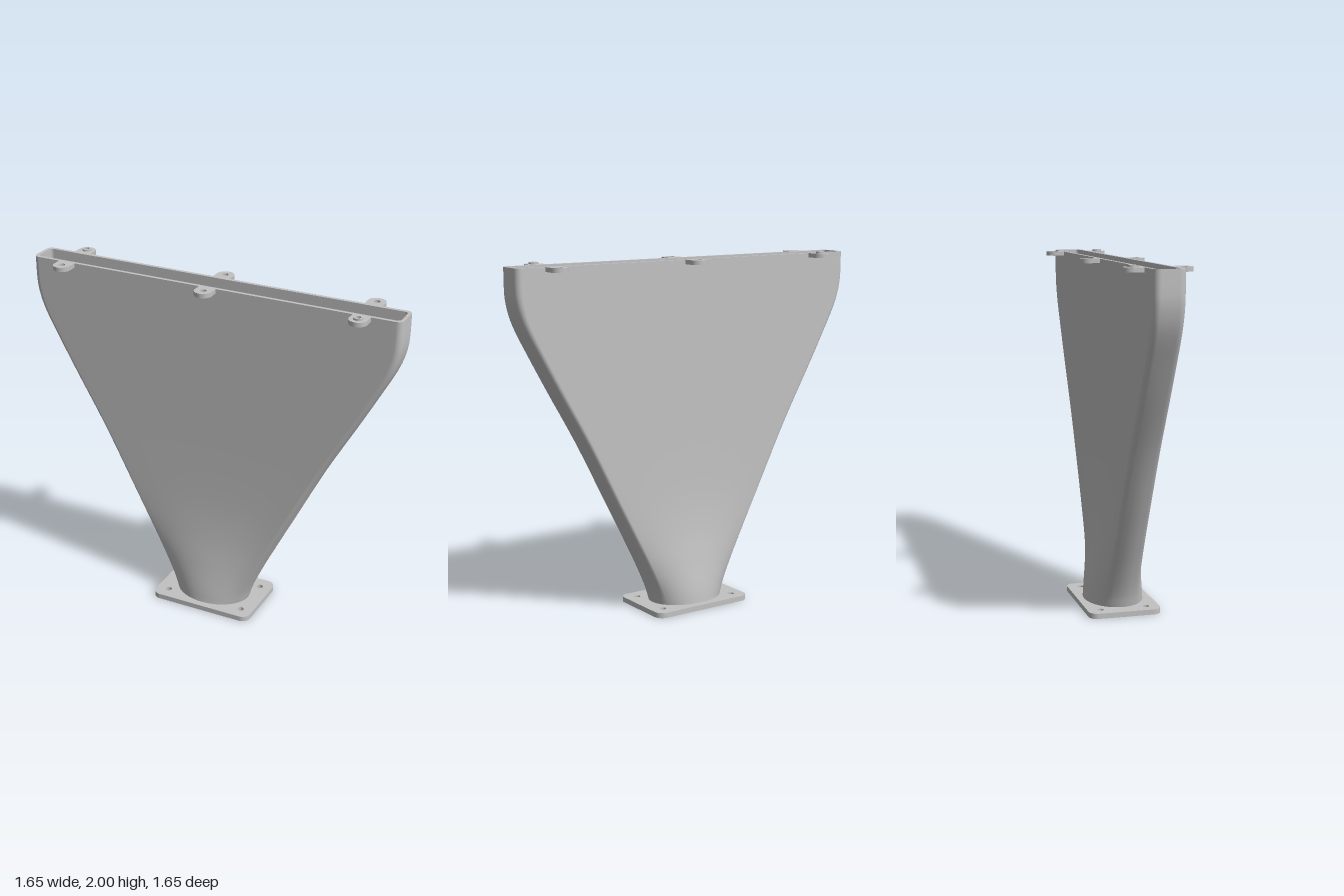
import * as THREE from 'three';

// local frame: x along the wide opening, z across it; the whole is turned 45 degrees at the end
const BASE = 0.03, RIM = 1.99;

// by height: how far the oval base has spread into the slot lengthwise, and how far it has thinned
const spread = [[0.03, 0, 0], [0.1, 0.025, 0.09], [0.26, 0.105, 0.4], [0.45, 0.212, 0.73], [0.655, 0.33, 0.92],
  [1.01, 0.535, 1], [1.315, 0.73, 1], [1.5, 0.845, 1], [1.66, 0.94, 1], [1.74, 0.975, 1], [1.82, 0.995, 1],
  [1.9, 1, 1], [1.99, 1, 1]];
const curve = new THREE.CatmullRomCurve3(spread.map(([y, f, g]) => new THREE.Vector3(f, y, g)));
const levels = curve.getPoints(60).map(p => ({ f: Math.min(1, p.x), g: Math.min(1, p.z), y: p.y }));

// one quarter of the outline: base angle (degrees) paired with the slot point
function quarter(L, w, r) {
  const q = [];
  for (let i = 0; i < 4; i++) q.push([i / 4 * 20, L, (w - r) * i / 4]);
  for (let i = 0; i <= 8; i++) {
    const a = i / 8 * Math.PI / 2;
    q.push([20 + i / 8 * 14, L - r + r * Math.cos(a), w - r + r * Math.sin(a)]);
  }
  for (let i = 1; i <= 12; i++) q.push([34 + i / 12 * 56, (L - r) * (1 - i / 12), w]);
  return q;
}

// closed ring blended from an oval (A by B) to a rounded slot (L by w, corner r)
function ring({ f, g, y }, A, B, L, w, r) {
  const q = quarter(L, w, r).map(([deg, x, z]) => {
    const a = deg * Math.PI / 180;
    return [(1 - f) * A * Math.cos(a) + f * x, (1 - g) * B * Math.sin(a) + g * z];
  });
  const half = [...q, ...q.slice(0, -1).reverse().map(([x, z]) => [-x, z])];
  const all = [...half, ...half.slice(1, -1).reverse().map(([x, z]) => [x, -z])];
  return all.map(([x, z]) => [x, y, z]);
}

// skin over a list of rings
function skin(rings, inward = false) {
  const n = rings[0].length, idx = [];
  for (let i = 0; i < rings.length - 1; i++) for (let j = 0; j < n; j++) {
    const a = i * n + j, b = i * n + (j + 1) % n, c = a + n, d = b + n;
    if (inward) idx.push(a, b, c, b, d, c);
    else idx.push(a, c, b, b, c, d);
  }
  const geometry = new THREE.BufferGeometry();
  geometry.setAttribute('position', new THREE.Float32BufferAttribute(rings.flat(2), 3));
  geometry.setIndex(idx);
  geometry.computeVertexNormals();
  return geometry;
}

// flat plate lying on y = 0
function plate(shape, depth) {
  return new THREE.ExtrudeGeometry(shape, { depth, bevelEnabled: false, curveSegments: 24 }).rotateX(-Math.PI / 2);
}
function hole(shape, x, y, rx, ry = rx) {
  shape.holes.push(new THREE.Path().absellipse(x, y, rx, ry, 0, Math.PI * 2, true));
}

export function createModel() {
  const model = new THREE.Group();
  model.name = 'funnelNozzle';
  const grey = new THREE.MeshStandardMaterial({ color: 0xc2c2c2 });
  grey.name = 'grey';
  const add = (name, geometry) => {
    const m = new THREE.Mesh(geometry, grey);
    m.name = name;
    model.add(m);
    return m;
  };

  // hollow body
  const outer = levels.map(l => ring(l, 0.224, 0.17, 1.1, 0.085, 0.035));
  const inner = levels.map(l => ring(l, 0.202, 0.15, 1.08, 0.065, 0.02));
  add('outerWall', skin(outer));
  add('innerWall', skin(inner, true));
  add('rim', skin([outer[outer.length - 1], inner[inner.length - 1]]));

  // base flange with rounded corners, an oval duct opening and four screw holes
  const L = 0.313, W = 0.209, r = 0.05;
  const flange = new THREE.Shape();
  flange.absarc(L - r, W - r, r, 0, Math.PI / 2);
  flange.absarc(-L + r, W - r, r, Math.PI / 2, Math.PI);
  flange.absarc(-L + r, -W + r, r, Math.PI, Math.PI * 1.5);
  flange.absarc(L - r, -W + r, r, Math.PI * 1.5, Math.PI * 2);
  hole(flange, 0, 0, 0.202, 0.15);
  for (const x of [-0.24, 0.24]) for (const y of [-0.134, 0.134]) hole(flange, x, y, 0.018);
  add('baseFlange', plate(flange, BASE));

  // two flow vanes fanning out inside the duct
  for (const s of [-1, 1]) {
    const t = 0.004;
    const rows = levels.filter(({ y }) => y >= 0.04 && y <= 1.9).map(({ f, g, y }) => {
      const x = s * (0.06 + 0.3 * f), z = (1 - g) * 0.146 + g * 0.07;
      return [[x + t, y, -z], [x + t, y, z], [x - t, y, z], [x - t, y, -z]];
    });
    const last = rows[rows.length - 1];
    const vane = skin([rows[0].map(([, y, z]) => [s * 0.06, y, z]), ...rows,
      last.map(([, y, z]) => [s * 0.36, y, z])]).toNonIndexed();
    vane.computeVertexNormals();
    add('flowVane', vane);
  }

  // mounting lugs along the rim, two of them with locating bushes
  const lug = new THREE.Shape();
  lug.moveTo(-0.05, 0.078);
  lug.lineTo(0.05, 0.078);
  lug.absarc(0, 0.134, 0.05, 0, Math.PI);
  hole(lug, 0, 0.134, 0.018);
  const lugGeometry = plate(lug, 0.025);
  const bush = new THREE.Shape().absarc(0, 0.134, 0.026, 0, Math.PI * 2);
  hole(bush, 0, 0.134, 0.015);
  const bushGeometry = plate(bush, 0.035);
  for (const x of [-0.88, 0, 0.88]) for (const side of [-1, 1]) {
    const place = (m, y) => {
      m.position.set(x, y, 0);
      m.rotation.y = side > 0 ? Math.PI : 0;
    };
    place(add('mountingLug', lugGeometry), RIM - 0.025);
    if (x * side > 0) place(add('locatingBush', bushGeometry), 2 - 0.035);
  }

  model.rotation.y = -Math.PI / 4;
  const group = new THREE.Group();
  group.name = 'model';
  group.add(model);
  return group;
}
